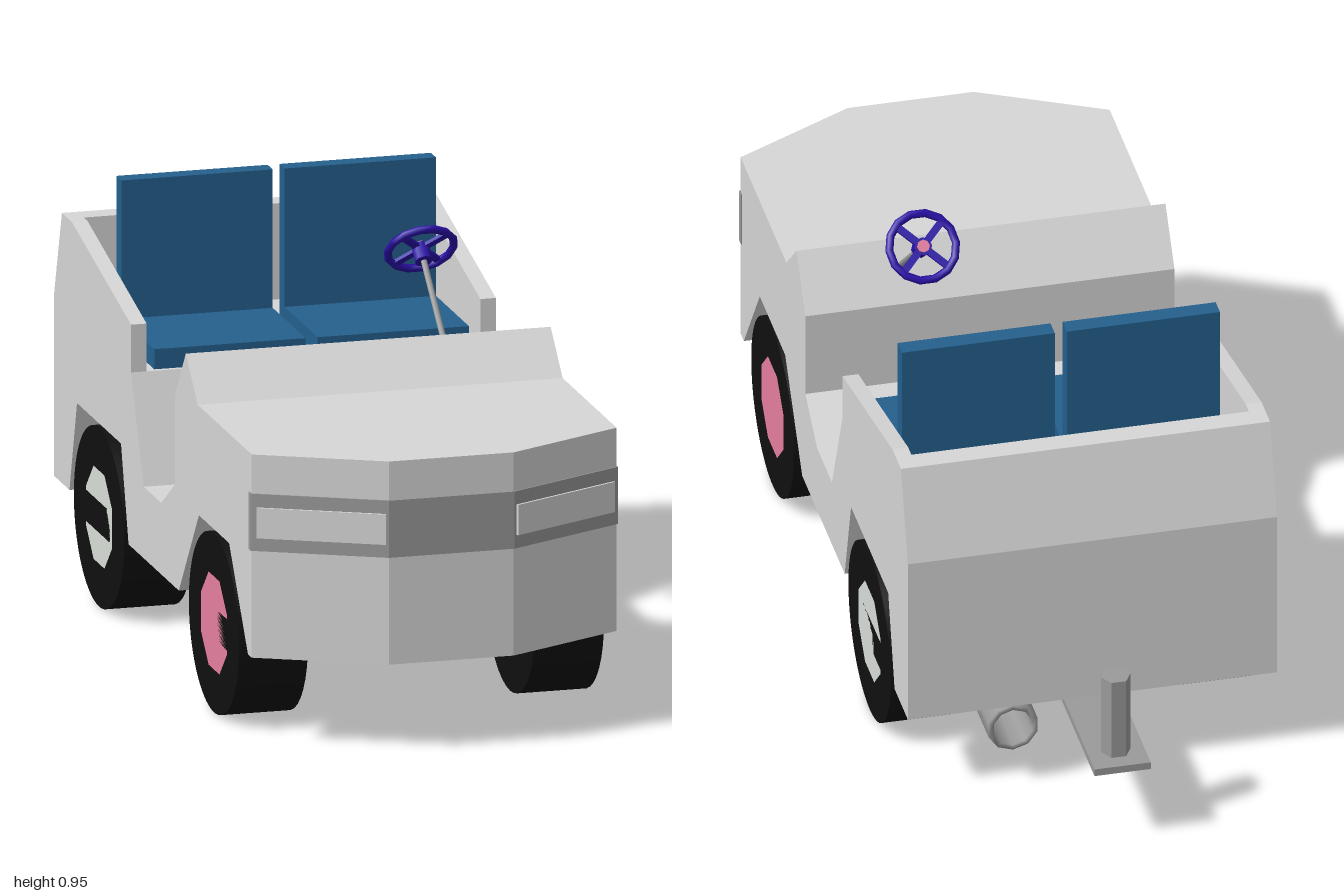
import * as THREE from 'three';

const paint = (name, color, side = THREE.FrontSide) => {
  const m = new THREE.MeshStandardMaterial({ color, side });
  m.name = name;
  return m;
};

export function createModel() {
  const root = new THREE.Group();
  root.name = 'towTractor';

  const bodyGrey = paint('bodyGrey', 0xd6d6d6);
  const bandGrey = paint('bandGrey', 0x999999);
  const metal = paint('metal', 0x9a9a9a, THREE.DoubleSide);
  const black = paint('tyreBlack', 0x101010);
  const pink = paint('hubPink', 0xe57f9f, THREE.DoubleSide);
  const pale = paint('hubPale', 0xd9ded9, THREE.DoubleSide);
  const blue = paint('seatBlue', 0x24608e);
  const violet = paint('steeringViolet', 0x2a0fa8);

  const add = (parent, name, geo, mat, x = 0, y = 0, z = 0) => {
    const m = new THREE.Mesh(geo, mat);
    m.name = name;
    m.position.set(x, y, z);
    parent.add(m);
    return m;
  };
  const box = (parent, name, mat, w, h, d, x, y, z) =>
    add(parent, name, new THREE.BoxGeometry(w, h, d), mat, x, y, z);
  const shapeOf = (pts) => new THREE.Shape(pts.map(([a, b]) => new THREE.Vector2(a, b)));

  // Body: side profiles given as (z, y), extruded in slabs across x
  const front = [[0.86, 0.2], [0.86, 0.655], [0.43, 0.655], [0.335, 0.745], [0.25, 0.63],
    [0.25, 0.43], [0.14, 0.36], [0, 0.36], [-0.1, 0.59]];
  const seatWell = [[-0.6, 0.59], [-0.6, 0.805]];
  const sideWall = [[-0.1, 0.697], [-0.57, 0.805]];
  const back = [[-0.65, 0.805], [-0.715, 0.6], [-0.715, 0.2]];
  const arches = [[-0.59, 0.2], [-0.53, 0.41], [-0.18, 0.41], [-0.12, 0.2],
    [0.28, 0.2], [0.44, 0.41], [0.68, 0.41], [0.83, 0.2]];
  const body = new THREE.Group();
  body.name = 'body';
  root.add(body);
  const slab = (name, x0, x1, pts) => {
    const g = new THREE.ExtrudeGeometry(shapeOf(pts), { depth: x1 - x0, bevelEnabled: false });
    g.rotateY(-Math.PI / 2).translate(x1, 0, 0);
    add(body, name, g, bodyGrey);
  };
  slab('bodyCore', -0.2, 0.2, [...front, ...seatWell, ...back]);
  for (const [side, s] of [['left', 1], ['right', -1]]) {
    const span = (a, b) => (s > 0 ? [a, b] : [-b, -a]);
    slab(side + 'WheelWell', ...span(0.2, 0.375), [...front, ...seatWell, ...back, ...arches]);
    slab(side + 'SideWall', ...span(0.375, 0.41), [...front, ...sideWall, ...back, ...arches]);
  }

  // Tapered nose, grille band and headlights
  const planBlock = (name, mat, pts, y0, y1) => {
    const half = pts.map(([x, z]) => [x, -z]);
    const other = pts.map(([x, z]) => [-x, -z]).reverse();
    const g = new THREE.ExtrudeGeometry(shapeOf([...half, ...other]), { depth: y1 - y0, bevelEnabled: false });
    add(body, name, g.rotateX(-Math.PI / 2), mat, 0, y0, 0);
  };
  planBlock('nose', bodyGrey, [[0.41, 0.86], [0.14, 0.997]], 0.2, 0.655);
  planBlock('grilleBand', bandGrey, [[0.413, 0.845], [0.413, 0.862], [0.141, 1]], 0.44, 0.568);
  for (const s of [1, -1]) {
    const lamp = box(body, s > 0 ? 'leftHeadlight' : 'rightHeadlight', bodyGrey,
      0.285, 0.068, 0.008, s * 0.274, 0.504, 0.934);
    lamp.rotation.y = s * 0.47;
  }

  // Two seats
  for (const [side, x] of [['left', 0.182], ['right', -0.185]]) {
    const seat = new THREE.Group();
    seat.name = side + 'Seat';
    root.add(seat);
    box(seat, 'cushion', blue, 0.34, 0.045, 0.3, x, 0.613, -0.26);
    box(seat, 'backrest', blue, 0.34, 0.355, 0.04, x, 0.768, -0.392);
  }

  // Wheels: black tyre with a recessed octagonal hub and a crossbar, outer face on +z
  const R = 0.2, W = 0.155, HUB = 0.113, RECESS = 0.06;
  const faceShape = new THREE.Shape().absarc(0, 0, R, 0, Math.PI * 2);
  const octagon = Array.from({ length: 8 }, (_, i) => {
    const a = (i + 0.5) * Math.PI / 4;
    return new THREE.Vector2(HUB * Math.cos(a), HUB * Math.sin(a));
  });
  faceShape.holes.push(new THREE.Path(octagon));
  const treadGeo = new THREE.CylinderGeometry(R, R, W, 40, 1, true).rotateX(Math.PI / 2);
  const faceGeo = new THREE.ShapeGeometry(faceShape, 40);
  const backGeo = new THREE.CircleGeometry(R, 40).rotateY(Math.PI);
  const rimGeo = new THREE.ExtrudeGeometry(new THREE.Shape(octagon), { depth: RECESS, bevelEnabled: false });
  // keep only the hub's side walls; the disc closes the recess
  const wallGroup = rimGeo.groups[1];
  rimGeo.setDrawRange(wallGroup.start, wallGroup.count);
  rimGeo.clearGroups();
  const discGeo = new THREE.ShapeGeometry(new THREE.Shape(octagon));
  for (const [end, z, hubMat] of [['front', 0.56, pink], ['rear', -0.355, pale]]) {
    for (const s of [1, -1]) {
      const wheel = new THREE.Group();
      wheel.name = end + (s > 0 ? 'LeftWheel' : 'RightWheel');
      wheel.position.set(s * 0.3325, R, z);
      wheel.rotation.y = s * Math.PI / 2;
      add(wheel, 'tread', treadGeo, black);
      add(wheel, 'tyreFace', faceGeo, black, 0, 0, W / 2);
      add(wheel, 'tyreBack', backGeo, black, 0, 0, -W / 2);
      add(wheel, 'hubRim', rimGeo, hubMat, 0, 0, W / 2 - RECESS);
      add(wheel, 'hubDisc', discGeo, hubMat, 0, 0, W / 2 - RECESS);
      box(wheel, 'hubBar', black, 0.212, 0.07, RECESS, 0, 0, W / 2 - RECESS / 2);
      root.add(wheel);
    }
  }

  // Exhaust pipe, open at the rear
  const pipe = [[0, 0.12], [0.057, 0.12], [0.057, 0.718], [0.045, 0.718], [0.045, 0.3], [0, 0.3]];
  const pipeGeo = new THREE.LatheGeometry(pipe.map(([r, y]) => new THREE.Vector2(r, y)), 10);
  add(root, 'exhaustPipe', pipeGeo.rotateX(-Math.PI / 2), metal, 0.177, 0.147, 0);

  // Tow hitch
  box(root, 'hitchPlate', metal, 0.125, 0.017, 0.65, 0, 0.191, -0.675);
  const pin = new THREE.CylinderGeometry(0.033, 0.033, 0.195, 6).toNonIndexed();
  pin.computeVertexNormals();
  pin.rotateY(Math.PI / 2);
  add(root, 'hitchPin', pin, metal, 0, 0.295, -0.935);

  // Steering wheel, its axis tilted up and back
  const steering = new THREE.Group();
  steering.name = 'steeringWheel';
  steering.position.set(0.186, 0.874, 0.095);
  steering.rotation.x = Math.atan2(-0.65, -0.76);
  root.add(steering);
  add(steering, 'rim', new THREE.TorusGeometry(0.074, 0.009, 6, 14), violet);
  add(steering, 'hub', new THREE.CylinderGeometry(0.02, 0.02, 0.04, 8).rotateX(Math.PI / 2), violet, 0, 0, -0.013);
  add(steering, 'hornButton', new THREE.CylinderGeometry(0.014, 0.014, 0.006, 8).rotateX(Math.PI / 2), pink, 0, 0, 0.009);
  for (let i = 0; i < 4; i++) {
    const a = (i + 0.5) * Math.PI / 2;
    const spoke = box(steering, 'spoke', violet, 0.06, 0.016, 0.008,
      0.042 * Math.cos(a), 0.042 * Math.sin(a), 0);
    spoke.rotation.z = a;
  }
  const column = new THREE.CylinderGeometry(0.007, 0.007, 0.27, 8).rotateX(Math.PI / 2);
  add(steering, 'steeringColumn', column, metal, 0, 0, -0.14);

  return root;
}
